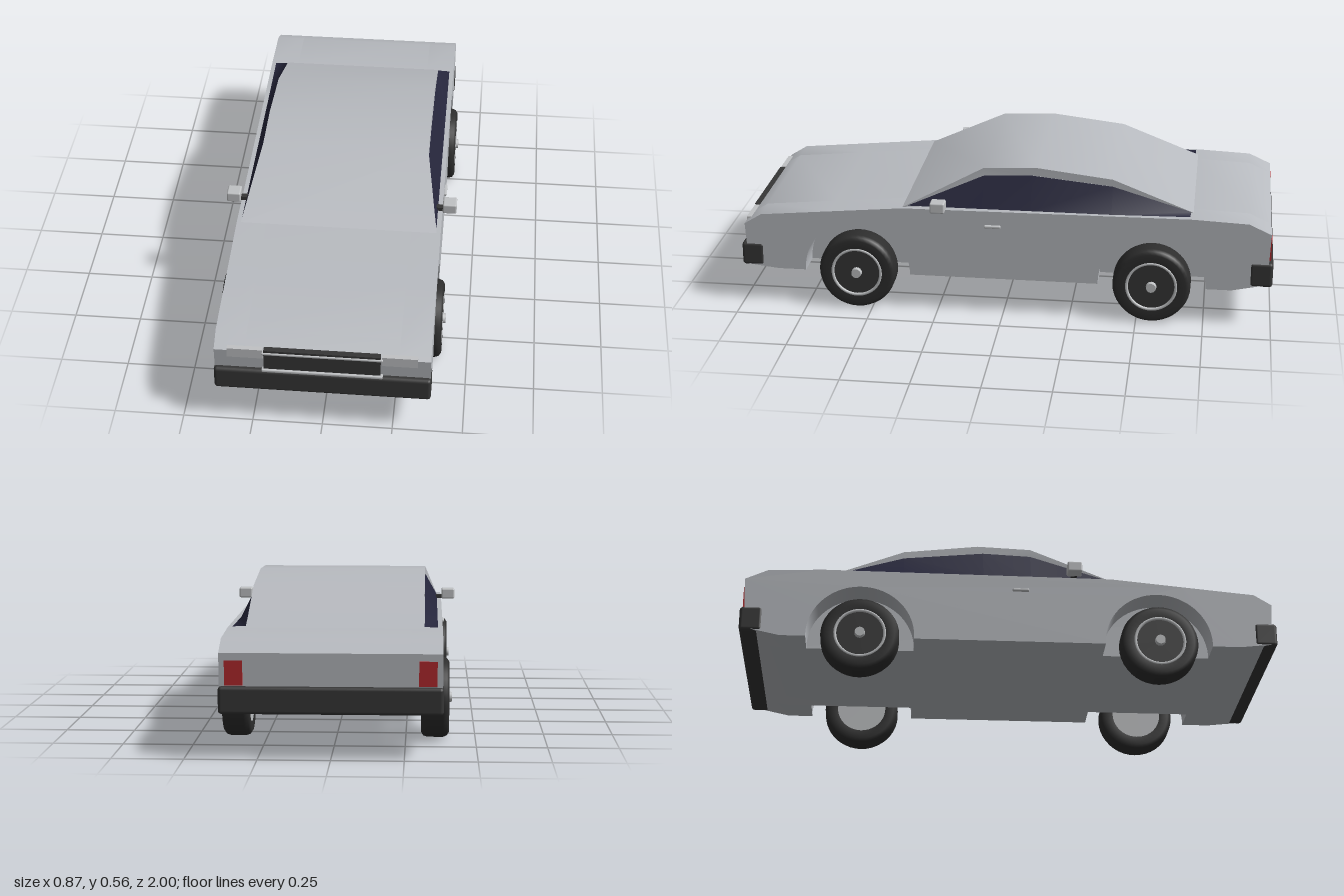
import * as THREE from 'three';
import { toCreasedNormals } from 'three/addons/utils/BufferGeometryUtils.js';
import { RoundedBoxGeometry } from 'three/addons/geometries/RoundedBoxGeometry.js';

const material = (name, color, side = THREE.FrontSide) => {
  const m = new THREE.MeshStandardMaterial({ color, side });
  m.name = name;
  return m;
};
const silver = material('silver paint', 0xb8bbc0);
const trim = material('dark trim', 0x363636);
const rubber = material('tyre rubber', 0x2d2d2d);
const bright = material('bright metal', 0xc0c2c4);
const glass = material('tinted glass', 0x26263c, THREE.DoubleSide);
const red = material('tail lamp red', 0xb0282c);

const WHEEL_Z = 0.555, WHEEL_Y = 0.15, HALF = 0.38, WELL_X = 0.27;

export function createModel() {
  const car = new THREE.Group();
  car.name = 'car';

  const add = (name, geometry, mat, x = 0, y = 0, z = 0, parent = car) => {
    const mesh = new THREE.Mesh(geometry, mat);
    mesh.name = name;
    mesh.position.set(x, y, z);
    parent.add(mesh);
    return mesh;
  };
  const box = (name, mat, w, h, d, x, y, z, r = 0) =>
    add(name, r ? new RoundedBoxGeometry(w, h, d, 2, r) : new THREE.BoxGeometry(w, h, d), mat, x, y, z);

  // Extrudes a (z, y) side profile across x, centred on x = 0
  const across = (shape, width) =>
    new THREE.ExtrudeGeometry(shape, { depth: width, bevelEnabled: false, curveSegments: 28 })
      .rotateY(-Math.PI / 2).translate(width / 2, 0, 0);

  // Lower body: plain core, outer sides with wheel arches cut out
  const bodyShape = (arches) => {
    const s = new THREE.Shape();
    s.moveTo(0.975, 0.155);
    s.lineTo(0.86, 0.142);
    if (arches) {
      for (const z of [WHEEL_Z, -WHEEL_Z]) s.absarc(z, WHEEL_Y, 0.2, -0.04, Math.PI + 0.04, false);
    }
    s.lineTo(-0.85, 0.142);
    s.lineTo(-0.98, 0.17);
    s.lineTo(-0.988, 0.37);
    s.lineTo(-0.905, 0.408);
    s.lineTo(-0.7, 0.417);
    s.lineTo(0.38, 0.41);
    s.lineTo(0.65, 0.385);
    s.lineTo(0.92, 0.36);
    s.lineTo(0.985, 0.32);
    return s;
  };
  add('bodyCore', toCreasedNormals(across(bodyShape(false), WELL_X * 2), 0.62), silver);
  const sideGeometry = toCreasedNormals(across(bodyShape(true), HALF - WELL_X), 0.62);
  for (const s of [1, -1]) add('bodySide', sideGeometry, silver, s * (HALF + WELL_X) / 2);

  // Roof shell, flaring outwards along the windscreen
  const roofHalf = (z) => 0.315 + Math.max(0, z - 0.08) / 0.3 * 0.05;
  const outer = [[0.38, 0.41], [0.08, 0.56], [-0.12, 0.568], [-0.4, 0.535], [-0.7, 0.418]];
  const inner = [[-0.62, 0.41], [-0.4, 0.508], [-0.1, 0.538], [0.08, 0.53], [0.32, 0.41]];
  const roofShape = new THREE.Shape([...outer, ...inner].map(([z, y]) => new THREE.Vector2(z, y)));
  const roof = across(roofShape, 2);
  const rp = roof.attributes.position;
  for (let i = 0; i < rp.count; i++) rp.setX(i, Math.sign(rp.getX(i)) * roofHalf(rp.getZ(i)));
  add('roof', toCreasedNormals(roof, 0.5), silver);

  // Side windows: strip between the roof edge and the belt line
  const glassTop = [[0.36, 0.416], [0.08, 0.53], [-0.1, 0.538], [-0.4, 0.508], [-0.69, 0.422]];
  for (const s of [1, -1]) {
    const points = [], index = [];
    glassTop.forEach(([z, y], i) => {
      points.push(s * (roofHalf(z) + 0.001), y, z, s * 0.363, i === 4 ? 0.42 : 0.415, z);
      if (i < 4) {
        const a = i * 2;
        if (s > 0) index.push(a, a + 1, a + 2, a + 1, a + 3, a + 2);
        else index.push(a, a + 2, a + 1, a + 1, a + 2, a + 3);
      }
    });
    const g = new THREE.BufferGeometry();
    g.setAttribute('position', new THREE.Float32BufferAttribute(points, 3));
    g.setIndex(index);
    g.computeVertexNormals();
    add('sideWindow', g, glass);
  }

  // Bumpers
  box('frontBumper', trim, 0.766, 0.09, 0.085, 0, 0.197, 0.9575, 0.012);
  box('rearBumper', trim, 0.766, 0.095, 0.085, 0, 0.208, -0.9575, 0.012);

  // Grille with bright bars
  box('grille', trim, 0.41, 0.085, 0.03, 0, 0.288, 0.975);
  box('grilleUpperBar', bright, 0.426, 0.01, 0.03, 0, 0.317, 0.979, 0.004);
  box('grilleLowerBar', bright, 0.426, 0.012, 0.03, 0, 0.242, 0.983, 0.004);

  for (const s of [1, -1]) {
    // Lamps
    box('headlamp', bright, 0.125, 0.038, 0.025, s * 0.272, 0.311, 0.975);
    box('tailLamp', red, 0.062, 0.085, 0.008, s * 0.33, 0.302, -0.987);
    // Mirrors and door handles
    box('mirrorStalk', trim, 0.035, 0.014, 0.022, s * 0.373, 0.422, 0.24);
    box('mirror', bright, 0.052, 0.04, 0.055, s * 0.407, 0.435, 0.24, 0.006);
    box('doorHandle', bright, 0.014, 0.011, 0.062, s * 0.383, 0.353, 0.04, 0.004);
  }

  // Wheels: lathed tyre, dark dish, bright rim ring and hub, bright inner disc
  const tyreProfile = [[0.095, -0.047], [0.128, -0.05], [0.14, -0.042], [0.145, -0.028],
    [0.145, 0.028], [0.14, 0.042], [0.128, 0.05], [0.095, 0.047]].map(([r, y]) => new THREE.Vector2(r, y));
  const turned = (g) => g.rotateZ(-Math.PI / 2);
  const tyre = turned(new THREE.LatheGeometry(tyreProfile, 40));
  const dish = turned(new THREE.CylinderGeometry(0.097, 0.097, 0.05, 40));
  const innerDisc = turned(new THREE.CylinderGeometry(0.098, 0.098, 0.04, 40));
  const ring = new THREE.TorusGeometry(0.092, 0.006, 8, 40).rotateY(Math.PI / 2);
  const hub = turned(new THREE.CylinderGeometry(0.018, 0.021, 0.025, 16));
  for (const s of [1, -1]) {
    for (const z of [WHEEL_Z, -WHEEL_Z]) {
      const wheel = new THREE.Group();
      wheel.name = 'wheel';
      wheel.position.set(s * 0.355, WHEEL_Y, z);
      if (s < 0) wheel.rotation.y = Math.PI;
      add('tyre', tyre, rubber, 0, 0, 0, wheel);
      add('wheelDish', dish, trim, 0.019, 0, 0, wheel);
      add('innerDisc', innerDisc, bright, -0.026, 0, 0, wheel);
      add('rimRing', ring, bright, 0.044, 0, 0, wheel);
      add('hub', hub, bright, 0.048, 0, 0, wheel);
      car.add(wheel);
    }
  }
  return car;
}
